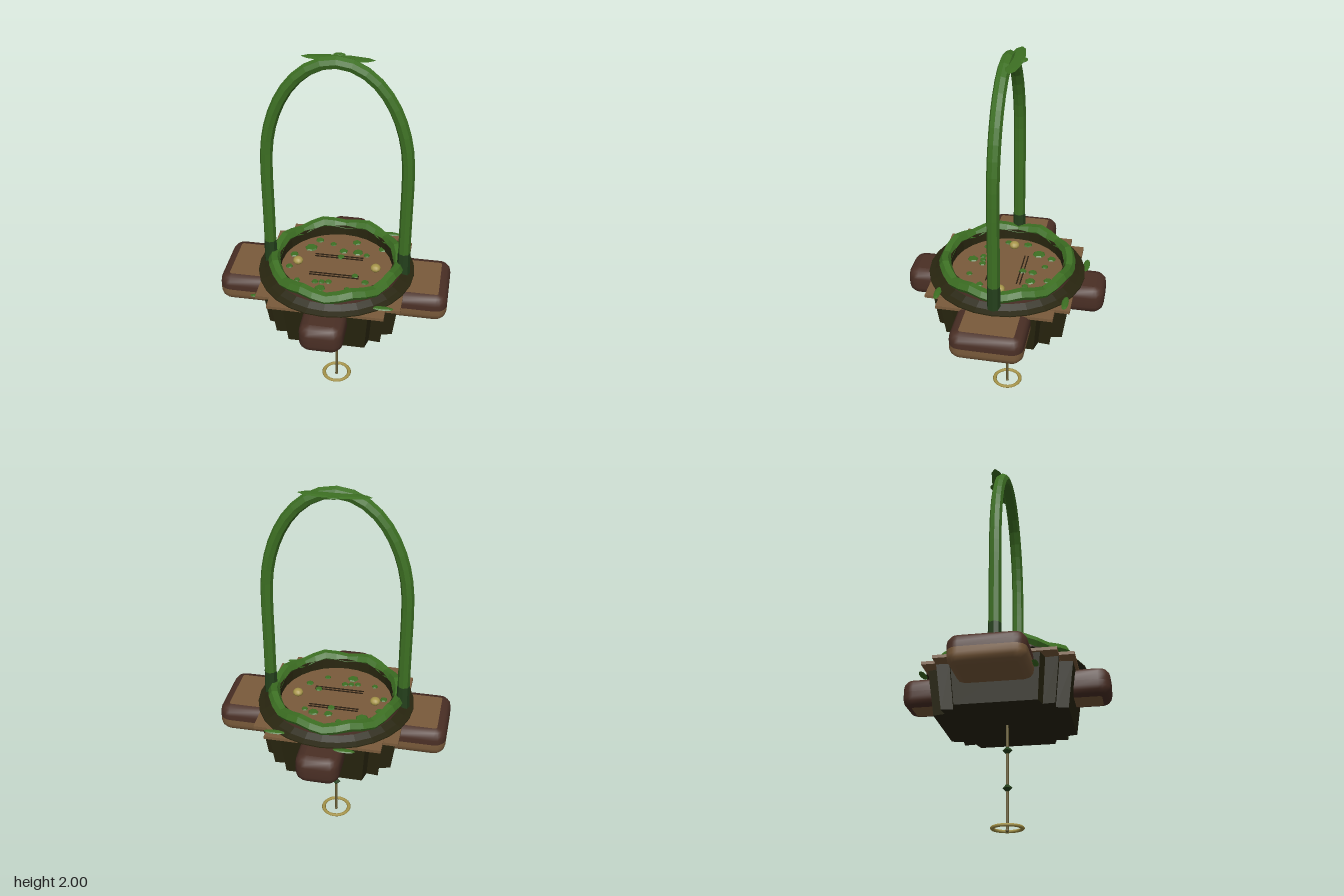
import * as THREE from 'three';

const mat = (name, color, extra = {}) => {
  const m = new THREE.MeshStandardMaterial({ color, ...extra });
  m.name = name;
  return m;
};

// Stack of outlines: levels are [inset, y], outline(inset) gives points counterclockwise from above
function loft(outline, levels) {
  const pos = [], idx = [];
  let n = 0;
  for (const [inset, y] of levels) {
    const pts = outline(inset);
    n = pts.length;
    for (const p of pts) pos.push(p.x, y, -p.y);
  }
  for (let i = 0; i < levels.length - 1; i++) {
    for (let j = 0; j < n; j++) {
      const a = i * n + j, b = i * n + (j + 1) % n;
      idx.push(a, b, b + n, a, b + n, a + n);
    }
  }
  const g = new THREE.BufferGeometry();
  g.setAttribute('position', new THREE.Float32BufferAttribute(pos, 3));
  g.setIndex(idx);
  g.computeVertexNormals();
  return g;
}

// Flat lid on an outline, facing up (1) or down (-1)
const cap = (pts, y, dir) =>
  new THREE.ShapeGeometry(new THREE.Shape(pts)).rotateX(-dir * Math.PI / 2).translate(0, y, 0);

const roundedRect = (hx, hz, r) => inset => {
  const pts = [];
  for (let c = 0; c < 4; c++) {
    const sx = c === 0 || c === 3 ? 1 : -1, sy = c < 2 ? 1 : -1;
    for (let k = 0; k <= 4; k++) {
      const a = (c + k / 4) * Math.PI / 2, q = r - inset;
      pts.push(new THREE.Vector2(sx * (hx - r) + q * Math.cos(a), sy * (hz - r) + q * Math.sin(a)));
    }
  }
  return pts;
};

// Square with notched corners, repeated over four quadrants
const notchedSquare = grow => {
  const quarter = [[0.33, -0.2], [0.33, 0.2], [0.27, 0.215], [0.275, 0.275], [0.215, 0.27]];
  const pts = [];
  for (let q = 0; q < 4; q++) {
    for (const [x, y] of quarter) {
      const p = new THREE.Vector2(x, y).multiplyScalar(1 + grow);
      pts.push(p.rotateAround(new THREE.Vector2(), q * Math.PI / 2));
    }
  }
  return pts;
};

export function createModel() {
  const model = new THREE.Group();
  const flat = { flatShading: true };
  const green = mat('leafGreen', 0x3d7023, flat);
  const darkGreen = mat('deepGreen', 0x24401c, flat);
  const olive = mat('darkOlive', 0x28250f, flat);
  const brown = mat('darkBrown', 0x4a2f25);
  const tan = mat('tanWood', 0x7a5b3b);
  const gold = mat('gold', 0xa8964a);
  const cord = mat('cord', 0x6b6038);
  const ink = mat('darkLine', 0x2c2013);

  const add = (name, geo, material, x = 0, y = 0, z = 0, parent = model) => {
    const m = new THREE.Mesh(geo, material);
    m.name = name;
    m.position.set(x, y, z);
    parent.add(m);
    return m;
  };

  // Tapered tub
  add('tubSides', loft(notchedSquare, [[0, 0.535], [0.09, 0.765]]), olive);
  add('tubBottom', cap(notchedSquare(0), 0.535, -1), olive);

  // Crossed deck boards
  add('deckBoardWide', new THREE.BoxGeometry(0.75, 0.016, 0.6), tan, 0, 0.77);
  add('deckBoardDeep', new THREE.BoxGeometry(0.6, 0.016, 0.75), tan, 0, 0.774);

  // Cushioned pods on four sides
  const pod = (name, hx, hz, x, z, low, top) => {
    const g = new THREE.Group();
    g.name = name;
    g.position.set(x, 0, z);
    model.add(g);
    const o = roundedRect(hx, hz, 0.06);
    add('podLower', loft(o, [[0.045, 0.635], [0.018, 0.643], [0.004, 0.66], [0, 0.68], [0, 0.708]]), low, 0, 0, 0, g);
    add('podUpper', loft(o, [[0, 0.708], [0, 0.735], [0.004, 0.755], [0.018, 0.772], [0.048, 0.781]]), brown, 0, 0, 0, g);
    add('podTop', cap(o(0.048), 0.781, 1), top, 0, 0, 0, g);
    add('podBottom', cap(o(0.045), 0.635, -1), tan, 0, 0, 0, g);
  };
  for (const s of [1, -1]) {
    pod(s > 0 ? 'leftPod' : 'rightPod', 0.16, 0.187, s * 0.443, 0, tan, tan);
    pod(s > 0 ? 'frontPod' : 'backPod', 0.112, 0.12, 0, s * 0.407, brown, brown);
  }

  // Round rim with flared brim
  const profile = pts => pts.map(p => new THREE.Vector2(...p));
  add('brim', new THREE.LatheGeometry(profile([[0.3, 0.783], [0.415, 0.786], [0.415, 0.792], [0.385, 0.8], [0.35, 0.818]]), 28), olive);
  add('rimWall', new THREE.LatheGeometry(profile([[0.35, 0.818], [0.345, 0.85]]), 28), brown);
  add('rimInside', new THREE.LatheGeometry(profile([[0.345, 0.85], [0.3, 0.85], [0.297, 0.785]]), 28), olive);
  add('floor', new THREE.CircleGeometry(0.3, 32).rotateX(-Math.PI / 2), tan, 0, 0.793);

  // Wavy wreath on the rim
  const wreath = new THREE.TorusGeometry(0.33, 0.032, 6, 32).rotateX(Math.PI / 2);
  const wp = wreath.attributes.position;
  for (let i = 0; i < wp.count; i++) {
    const a = Math.atan2(wp.getZ(i), wp.getX(i));
    wp.setY(i, 0.848 + wp.getY(i) - 0.013 * Math.cos(8 * a));
  }
  add('wreath', wreath, green);

  // Arched handle
  const path = [];
  for (const y of [0.79, 1.1]) path.push(new THREE.Vector3(-0.357, y, 0));
  for (let i = 0; i <= 14; i++) {
    const a = Math.PI * (1 - i / 14);
    path.push(new THREE.Vector3(0.357 * Math.cos(a), 1.4 + 0.567 * Math.sin(a), 0));
  }
  for (const y of [1.1, 0.79]) path.push(new THREE.Vector3(0.357, y, 0));
  add('handle', new THREE.TubeGeometry(new THREE.CatmullRomCurve3(path), 36, 0.032, 8), green);
  for (const s of [1, -1]) {
    add('handleFoot', new THREE.CylinderGeometry(0.033, 0.036, 0.14, 8), darkGreen, s * 0.357, 0.86);
  }

  // Leaves: one long on the crown, small ones around the brim
  const leaf = (name, x, y, z, lx, lz) =>
    add(name, new THREE.SphereGeometry(1, 10, 4).scale(lx, 0.006, lz), green, x, y, z);
  leaf('crownLeaf', 0, 1.97, -0.04, 0.178, 0.04);
  leaf('crownLeafTip', 0, 1.972, -0.078, 0.03, 0.02);
  leaf('brimLeaf', -0.12, 0.785, -0.412, 0.057, 0.018);
  leaf('brimLeaf', 0.25, 0.795, -0.345, 0.057, 0.018);
  leaf('brimLeaf', -0.385, 0.695, 0.197, 0.046, 0.017);
  leaf('brimLeaf', 0.285, 0.795, 0.31, 0.057, 0.018);

  // Moss patches: x, z, radius
  const moss = [
    [-0.13, -0.22, 0.024], [-0.05, -0.195, 0.018], [0.075, -0.23, 0.024], [-0.165, -0.145, 0.035],
    [0.015, -0.14, 0.024], [0.095, -0.14, 0.028], [0.145, -0.12, 0.018], [0.225, -0.19, 0.024],
    [-0.245, -0.07, 0.024], [-0.25, 0.04, 0.02], [-0.185, 0.15, 0.017], [-0.09, 0.15, 0.018],
    [-0.055, 0.145, 0.018], [-0.02, 0.14, 0.019], [-0.055, 0.2, 0.03], [0.085, 0.188, 0.017],
    [0.17, 0.115, 0.021], [0.11, 0.07, 0.02], [0.01, -0.085, 0.022]
  ];
  moss.forEach(([x, z, r], i) => {
    add('mossPatch', new THREE.CylinderGeometry(r * 0.8, r, 0.006, 6 + i % 2), green, x, 0.796, z).rotation.y = i;
  });

  // Inlaid lines and gold knobs on the floor
  for (const z of [0.073, 0.091, -0.073, -0.091]) {
    add('floorLine', new THREE.BoxGeometry(0.265, 0.004, 0.006), ink, 0, 0.795, z);
  }
  for (const s of [1, -1]) {
    add('knob', new THREE.SphereGeometry(0.028, 10, 8).scale(1, 0.75, 1), gold, s * 0.21, 0.808);
  }

  // Hanging cord with beads and ring
  add('cord', new THREE.CylinderGeometry(0.007, 0.007, 0.53, 8), cord, 0, 0.27);
  for (const y of [0.215, 0.405]) add('bead', new THREE.OctahedronGeometry(0.025), darkGreen, 0, y);
  add('pullRing', new THREE.TorusGeometry(0.073, 0.011, 6, 24).rotateX(Math.PI / 2).scale(1, 0.7, 1), gold, 0, 0.02);
  add('cordEnd', new THREE.SphereGeometry(0.009, 8, 6), cord, 0, 0.009);

  return model;
}
